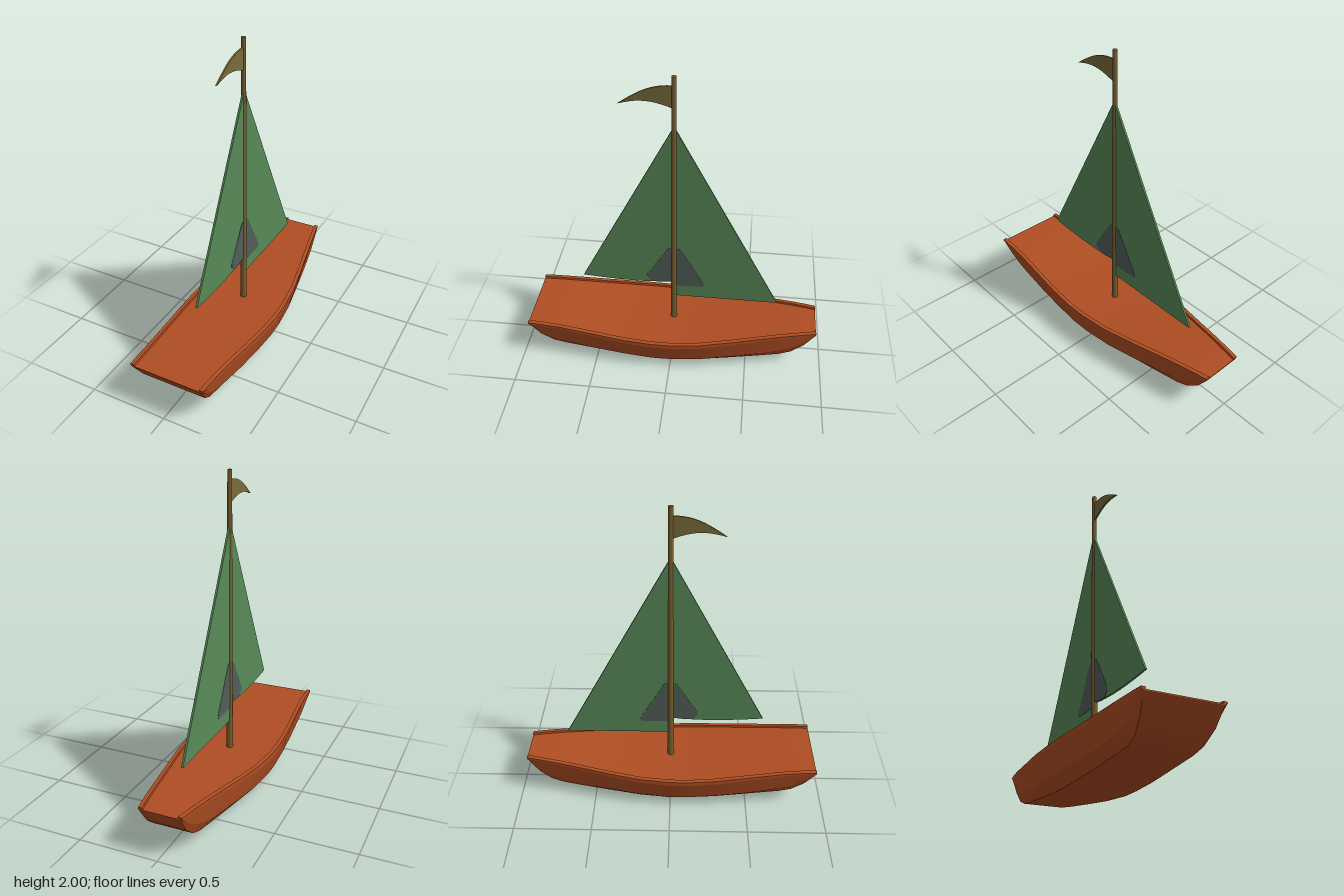
import * as THREE from 'three';
import { mergeGeometries } from 'three/addons/utils/BufferGeometryUtils.js';

const paint = (name, color, side = THREE.FrontSide) => {
  const m = new THREE.MeshStandardMaterial({ color, side });
  m.name = name;
  return m;
};

// Hull stations: z, half width, sheer y, chine y, bottom y, chine ratio, bottom ratio, lip height
const STATIONS = [
  [-0.95, 0.135, 0.280, 0.264, 0.260, 0.98, 0.92, 0.012],
  [-0.88, 0.149, 0.280, 0.205, 0.155, 0.95, 0.83, 0.014],
  [-0.80, 0.165, 0.277, 0.155, 0.088, 0.92, 0.76, 0.016],
  [-0.72, 0.180, 0.273, 0.125, 0.060, 0.90, 0.72, 0.019],
  [-0.60, 0.203, 0.264, 0.103, 0.045, 0.89, 0.70, 0.022],
  [-0.40, 0.243, 0.248, 0.085, 0.026, 0.88, 0.68, 0.026],
  [-0.20, 0.280, 0.236, 0.071, 0.009, 0.88, 0.67, 0.030],
  [0.00, 0.299, 0.231, 0.065, 0.000, 0.88, 0.67, 0.030],
  [0.12, 0.302, 0.233, 0.067, 0.004, 0.88, 0.67, 0.030],
  [0.30, 0.294, 0.241, 0.077, 0.016, 0.88, 0.68, 0.028],
  [0.50, 0.276, 0.256, 0.093, 0.036, 0.89, 0.70, 0.024],
  [0.72, 0.257, 0.273, 0.125, 0.060, 0.90, 0.73, 0.019],
  [0.80, 0.252, 0.277, 0.155, 0.088, 0.92, 0.78, 0.016],
  [0.88, 0.248, 0.280, 0.205, 0.155, 0.95, 0.86, 0.014],
  [0.95, 0.245, 0.280, 0.264, 0.260, 0.98, 0.94, 0.012],
];

// Closed section: deck edge, rim, lip, chine and bottom, mirrored to the other side
function section([, w, sheer, chine, bottom, cr, br, lip]) {
  const half = [
    [w - 0.027, sheer - 0.014], [w - 0.025, sheer], [w, sheer - 0.002],
    [w, sheer - lip], [w * cr, chine], [w * br, bottom],
  ];
  return [...half, ...half.map(([x, y]) => [-x, y]).reverse()];
}

function makeGeometry(positions, indices) {
  const g = new THREE.BufferGeometry();
  g.setAttribute('position', new THREE.Float32BufferAttribute(positions, 3));
  g.setIndex(indices);
  g.computeVertexNormals();
  return g;
}

function hullGeometry() {
  const rings = STATIONS.map(section);
  const n = rings[0].length;
  const pieces = [];
  // One smooth plank per section edge, with crisp edges between planks
  for (let i = 0; i < n; i++) {
    const pos = [], idx = [];
    rings.forEach((ring, j) => {
      const z = STATIONS[j][0];
      pos.push(...ring[i], z, ...ring[(i + 1) % n], z);
      if (j) {
        const a = 2 * (j - 1), b = a + 1, d = a + 2, c = a + 3;
        idx.push(a, d, c, a, c, b);
      }
    });
    pieces.push(makeGeometry(pos, idx));
  }
  // Narrow end faces
  for (const j of [0, rings.length - 1]) {
    const pts = rings[j].map(([x, y]) => new THREE.Vector2(x, y));
    const pos = rings[j].flatMap(([x, y]) => [x, y, STATIONS[j][0]]);
    const idx = THREE.ShapeUtils.triangulateShape(pts, []).flatMap(([a, b, c]) => {
      const area = (pts[b].x - pts[a].x) * (pts[c].y - pts[a].y)
        - (pts[b].y - pts[a].y) * (pts[c].x - pts[a].x);
      return (area > 0) === (j > 0) ? [a, b, c] : [a, c, b];
    });
    pieces.push(makeGeometry(pos, idx));
  }
  return mergeGeometries(pieces);
}

// Flat sheet drawn in (z, y) and given thickness along x
function sheet(shape, thickness) {
  const g = new THREE.ExtrudeGeometry(shape, { depth: thickness, bevelEnabled: false, curveSegments: 10 });
  return g.translate(0, 0, -thickness / 2).rotateY(-Math.PI / 2);
}
const polygon = (pts) => new THREE.Shape(pts.map(([z, y]) => new THREE.Vector2(z, y)));

export function createModel() {
  const model = new THREE.Group();
  model.name = 'sailboat';
  const add = (name, geometry, material) => {
    const mesh = new THREE.Mesh(geometry, material);
    mesh.name = name;
    model.add(mesh);
  };
  const hullPaint = paint('hull orange brown', 0xb04e23);
  const mastWood = paint('mast wood', 0x7a602f);
  const sailCloth = paint('sail green', 0x588a59);
  const patchCloth = paint('patch grey', 0x525f59);
  const flagCloth = paint('flag olive', 0x786b3b);

  add('hull', hullGeometry(), hullPaint);

  // Tapered mast
  add('mast', new THREE.CylinderGeometry(0.014, 0.021, 1.79, 12).translate(0, 1.105, 0), mastWood);

  // Sails
  add('mainSail', sheet(polygon([[0, 1.69], [-0.68, 0.41], [0, 0.41]]), 0.013), sailCloth);
  const jib = new THREE.Shape();
  jib.moveTo(0, 1.69);
  jib.lineTo(0.6, 0.532);
  jib.quadraticCurveTo(0.2, 0.495, 0, 0.535);
  add('frontSail', sheet(jib, 0.013), sailCloth);

  // Patch, showing on both faces of the sails
  const patch = polygon([
    [0.025, 0.812], [0.043, 0.797], [0.176, 0.575], [0.174, 0.553], [0.145, 0.521],
    [0.08, 0.522], [0.005, 0.532], [0, 0.5], [-0.188, 0.5], [-0.2, 0.515],
    [-0.195, 0.53], [-0.045, 0.797], [-0.025, 0.812],
  ]);
  for (const side of [-1, 1]) {
    add(side > 0 ? 'leftPatch' : 'rightPatch', sheet(patch, 0.002).translate(side * 0.0075, 0, 0), patchCloth);
  }

  // Curved pennant
  const flag = new THREE.Shape();
  flag.moveTo(0, 1.942);
  flag.bezierCurveTo(0.13, 1.945, 0.2, 1.9, 0.315, 1.82);
  flag.bezierCurveTo(0.2, 1.855, 0.13, 1.855, 0, 1.803);
  add('flag', sheet(flag, 0.01), flagCloth);

  return model;
}
